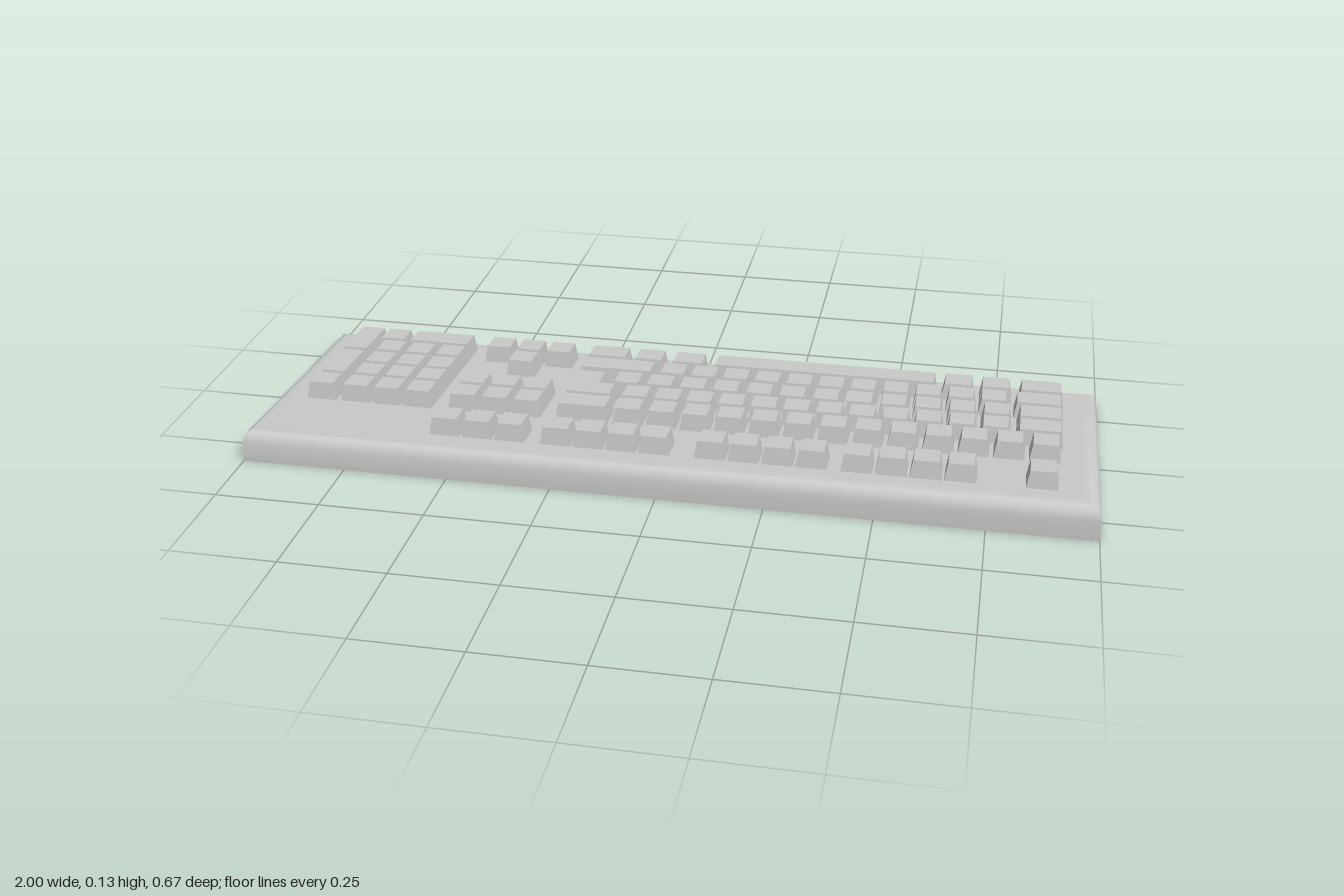
import * as THREE from 'three';
import { toCreasedNormals } from 'three/addons/utils/BufferGeometryUtils.js';

const material = new THREE.MeshStandardMaterial({ color: 0xcccccc });

// Closed solid through stacked rings (bottom to top, counter-clockwise from above).
function loft(rings) {
  const n = rings[0].length;
  const positions = rings.flat(2);
  const index = [];
  for (let r = 0; r < rings.length - 1; r++) {
    for (let i = 0; i < n; i++) {
      const a = r * n + i, b = r * n + (i + 1) % n;
      index.push(a, b, b + n, a, b + n, a + n);
    }
  }
  const outline = rings[0].map(([x, , z]) => new THREE.Vector2(x, -z));
  const top = (rings.length - 1) * n;
  for (const [a, b, c] of THREE.ShapeUtils.triangulateShape(outline, [])) {
    index.push(a, c, b, top + a, top + b, top + c);
  }
  const geometry = new THREE.BufferGeometry();
  geometry.setAttribute('position', new THREE.Float32BufferAttribute(positions, 3));
  geometry.setIndex(index);
  return toCreasedNormals(geometry, 0.6);
}

const rectangle = (x0, x1, z0, z1) => [[x0, z1], [x1, z1], [x1, z0], [x0, z0]];

// Wedge-shaped case with a rounded, mitred rim
function createCase() {
  const ring = (inset, height) =>
    rectangle(-1 + inset, 1 - inset, -0.333 + inset, 0.333 - inset).map(([x, z]) => [x, height(z), z]);
  const rim = [[0, 0.032], [0.004, 0.019], [0.01, 0.009], [0.02, 0.003], [0.033, 0], [0.037, 0]];
  const rings = [ring(0, () => 0)];
  for (const [inset, drop] of rim) rings.push(ring(inset, z => 0.0625 + 0.055 * z - drop));
  const mesh = new THREE.Mesh(loft(rings), material);
  mesh.name = 'case';
  return mesh;
}

// Keycap: square-cornered footprint, walls leaning in towards a sloped top
function createKey(name, footprint) {
  const n = footprint.length;
  const bottom = footprint.map(([x, z]) => [x, 0.068 + 0.061 * z, z]);
  const top = footprint.map(([x, z], i) => {
    let tx = x, tz = z;
    const before = footprint[(i + n - 1) % n], after = footprint[(i + 1) % n];
    for (const [a, b] of [[before, [x, z]], [[x, z], after]]) {
      const nx = Math.sign(b[1] - a[1]), nz = -Math.sign(b[0] - a[0]);
      tx += nx * 0.007;
      tz += nz * (nz < 0 ? 0.006 : 0.003);
    }
    return [tx, 0.1103 + 0.062 * tz, tz];
  });
  const mesh = new THREE.Mesh(loft([bottom, top]), material);
  mesh.name = name;
  return mesh;
}

export function createModel() {
  const keyboard = new THREE.Group();
  keyboard.name = 'keyboard';
  keyboard.add(createCase());

  const size = 0.072, half = size / 2 + 0.001;
  const rows = { f: 0.237, number: 0.092, upper: 0.0125, home: -0.067, lower: -0.147, space: -0.227 };

  const block = name => {
    const group = new THREE.Group();
    group.name = name;
    keyboard.add(group);
    return group;
  };
  // One key from x0 to x1, covering the rows from "front" to "back"
  const key = (group, name, x0, x1, front, back = front) =>
    group.add(createKey(name, rectangle(x0, x1, rows[front] - half, rows[back] + half)));
  // A run of equal keys filling x0 to x1
  const run = (group, name, count, x0, x1, row) => {
    const pitch = (x1 - x0 - size) / (count - 1);
    for (let i = 0; i < count; i++) key(group, name, x0 + i * pitch, x0 + i * pitch + size, row);
  };

  // Function row
  const functions = block('functionRow');
  run(functions, 'systemKey', 3, -0.553, -0.323, 'f');
  run(functions, 'functionKey', 4, -0.285, 0.021, 'f');
  run(functions, 'functionKey', 4, 0.079, 0.385, 'f');
  run(functions, 'functionKey', 4, 0.416, 0.722, 'f');
  key(functions, 'escapeKey', 0.831, 0.903, 'f');

  // Main typing block
  const main = block('mainKeys');
  run(main, 'numberKey', 13, -0.146, 0.908, 'number');
  key(main, 'backspaceKey', -0.285, -0.157, 'number');
  run(main, 'letterKey', 12, -0.146, 0.791, 'upper');
  key(main, 'tabKey', 0.804, 0.913, 'upper');
  run(main, 'letterKey', 12, -0.183, 0.791, 'home');
  key(main, 'capsLockKey', 0.804, 0.913, 'home');
  key(main, 'rightShiftKey', -0.285, -0.097, 'lower');
  run(main, 'letterKey', 11, -0.084, 0.782, 'lower');
  key(main, 'leftShiftKey', 0.795, 0.913, 'lower');

  // L-shaped enter key
  const enterBack = rows.upper + half, enterStep = rows.upper - half, enterFront = rows.home - half + 0.012;
  main.add(createKey('enterKey', [
    [-0.285, enterBack], [-0.165, enterBack], [-0.165, enterStep],
    [-0.204, enterStep], [-0.204, enterFront], [-0.285, enterFront],
  ]));

  // Space bar row
  const bottomRow = [
    ['controlKey', -0.285, -0.178], ['menuKey', -0.164, -0.085], ['altKey', -0.066, 0.02],
    ['spaceBar', 0.041, 0.603], ['altKey', 0.617, 0.695], ['menuKey', 0.709, 0.787],
    ['controlKey', 0.804, 0.913],
  ];
  for (const [name, x0, x1] of bottomRow) key(main, name, x0, x1, 'space');

  // Navigation and arrow keys
  const navigation = block('navigationKeys');
  for (const row of ['number', 'upper']) run(navigation, 'navigationKey', 3, -0.553, -0.323, row);
  key(navigation, 'upArrowKey', -0.474, -0.402, 'lower');
  run(navigation, 'arrowKey', 3, -0.553, -0.323, 'space');

  // Number pad
  const pad = block('numberPad');
  for (const row of ['number', 'upper', 'home', 'lower']) run(pad, 'padKey', 3, -0.825, -0.595, row);
  key(pad, 'padKey', -0.911, -0.839, 'number');
  key(pad, 'padPlusKey', -0.911, -0.839, 'home', 'upper');
  key(pad, 'padEnterKey', -0.911, -0.839, 'space', 'lower');
  key(pad, 'padPointKey', -0.837, -0.766, 'space');
  key(pad, 'padZeroKey', -0.76, -0.595, 'space');

  return keyboard;
}
